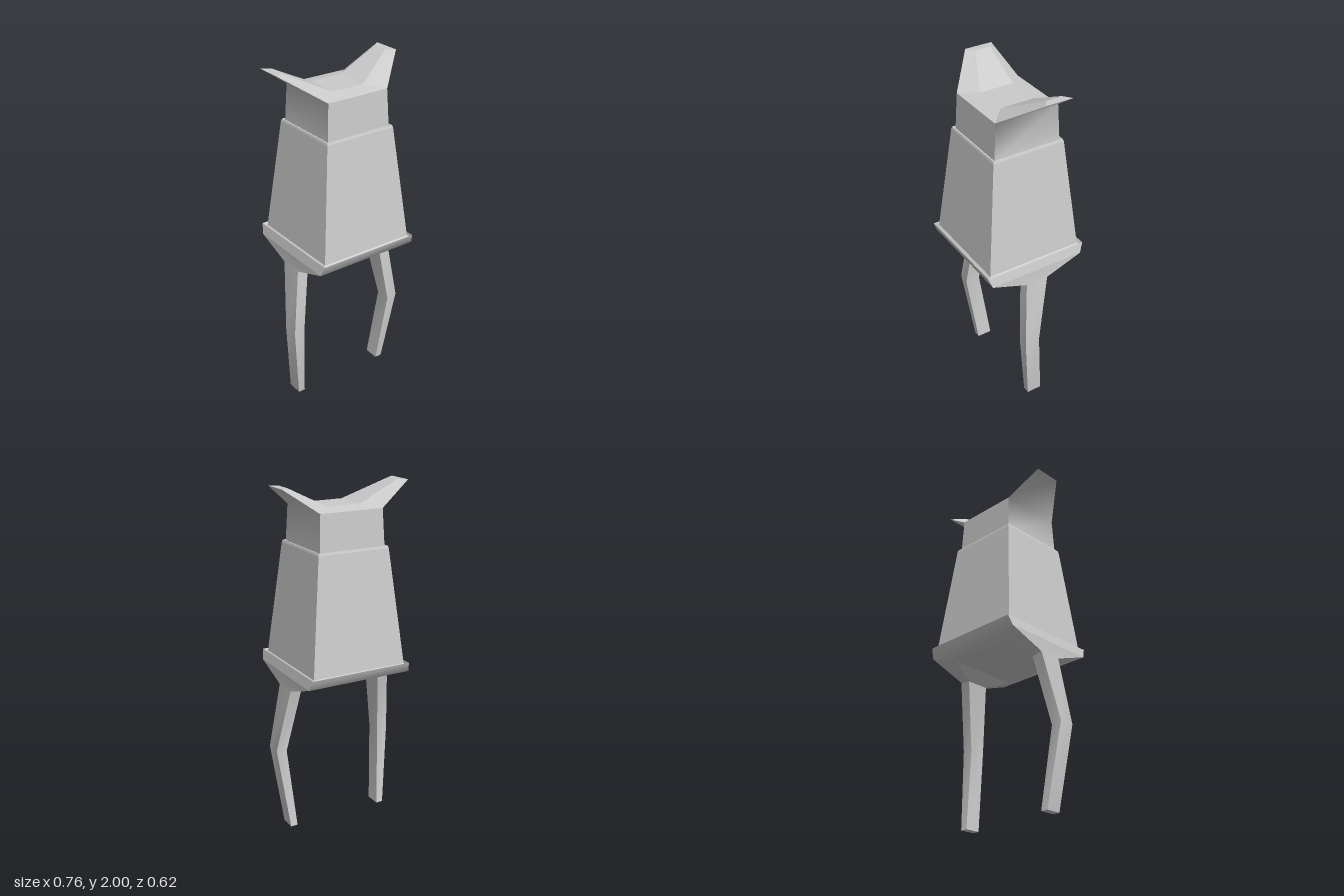
import * as THREE from 'three';
import { mergeGeometries, toCreasedNormals } from 'three/addons/utils/BufferGeometryUtils.js';

const flat = new THREE.MeshStandardMaterial({ color: 0xcccccc, flatShading: true });
const smooth = new THREE.MeshStandardMaterial({ color: 0xcccccc });

// Rectangular cross-section, counter-clockwise from above
const rect = (x, z, y) => [[x, y, z], [x, y, -z], [-x, y, -z], [-x, y, z]];

// A left-to-right edge, used as one row of an open strip
const row = (x, y, z) => [[-x, y, z], [x, y, z]];

// Skin between successive cross-sections, with optional end caps
function loft(rings, { closed = true, start = false, end = false } = {}) {
  const pos = [];
  const quad = (a, b, c, d) => pos.push(...a, ...b, ...c, ...a, ...c, ...d);
  for (let k = 0; k < rings.length - 1; k++) {
    const lo = rings[k], hi = rings[k + 1], n = lo.length;
    for (let i = 0; i < (closed ? n : n - 1); i++) {
      const j = (i + 1) % n;
      quad(lo[i], lo[j], hi[j], hi[i]);
    }
  }
  if (start) quad(...[...rings[0]].reverse());
  if (end) quad(...rings[rings.length - 1]);
  const g = new THREE.BufferGeometry();
  g.setAttribute('position', new THREE.Float32BufferAttribute(pos, 3));
  g.computeVertexNormals();
  return g;
}

// Mirror cross-sections across x, keeping faces outward
const mirror = rings => rings.map(r => r.map(([x, y, z]) => [-x, y, z]).reverse());

export function createModel() {
  const model = new THREE.Group();
  const add = (name, geometry, material = flat) => {
    const mesh = new THREE.Mesh(geometry, material);
    mesh.name = name;
    model.add(mesh);
  };

  // Pelvis tray: rim rolling softly into front and back chamfers, flat plate below
  const strip = rows => loft(rows, { closed: false });
  add('pelvisTray', toCreasedNormals(mergeGeometries([
    loft([rect(0.318, 0.29, 0.947), rect(0.305, 0.312, 1.005), rect(0.303, 0.3, 0.988)]),
    strip([row(0.318, 0.947, -0.29), row(0.2, 0.92, -0.215)]),
    strip([row(0.2, 0.92, 0.215), row(0.318, 0.947, 0.29)]),
  ]), 1), smooth);
  add('pelvisPlate', strip([row(0.2, 0.92, -0.215), row(0.2, 0.92, 0.215)]));

  // Tapered torso with a flared foot and a small shoulder ledge
  add('torso', loft([
    rect(0.303, 0.3, 0.988), rect(0.286, 0.287, 1.0), rect(0.216, 0.217, 1.652),
    rect(0.212, 0.213, 1.664), rect(0.205, 0.205, 1.664), rect(0.2, 0.2, 1.65),
  ]));

  // Flared ear: outer front, outer back, inner back, inner front
  const ear = [
    [[0.19, 1.867, 0.19], [0.19, 1.867, -0.19], [0.1, 1.885, -0.1], [0.1, 1.885, 0.1]],
    [[0.382, 2, 0.023], [0.382, 2, -0.14], [0.335, 2, -0.105], [0.335, 2, -0.012]],
  ];
  const earOuter = ear.map(r => r.slice(0, 2));
  const earInner = ear.map(([a, b, c, d]) => [b, c, d, a]);

  // Head block, its sides sweeping smoothly up the outside of the ears
  add('head', toCreasedNormals(mergeGeometries([
    loft([rect(0.2, 0.2, 1.65), rect(0.19, 0.19, 1.867)]),
    strip(earOuter), strip(mirror(earOuter)),
  ]), 1.15), smooth);
  add('crown', strip([
    row(0.19, 1.867, 0.19), row(0.1, 1.885, 0.1), row(0.1, 1.885, -0.1), row(0.19, 1.867, -0.19),
  ]));

  // Leg from foot through knee to the spread hip
  const section = (xi, xo, yi, yo, zb, zf) =>
    [[xo, yo, zf], [xo, yo, zb], [xi, yi, zb], [xi, yi, zf]];
  const leg = [
    section(0.275, 0.317, 0, 0, -0.043, 0.048),
    section(0.309, 0.373, 0.468, 0.478, 0.015, 0.107),
    section(0.252, 0.318, 0.858, 0.868, -0.067, 0.07),
    [[0.318, 0.947, 0.29], [0.318, 0.947, -0.29], [0.2, 0.92, -0.215], [0.2, 0.92, 0.215]],
  ];

  for (const [side, place] of [['left', r => r], ['right', mirror]]) {
    add(side + 'Ear', loft(place(earInner), { closed: false, end: true }));
    add(side + 'Leg', toCreasedNormals(loft(place(leg), { start: true }), 0.5), smooth);
  }
  return model;
}
